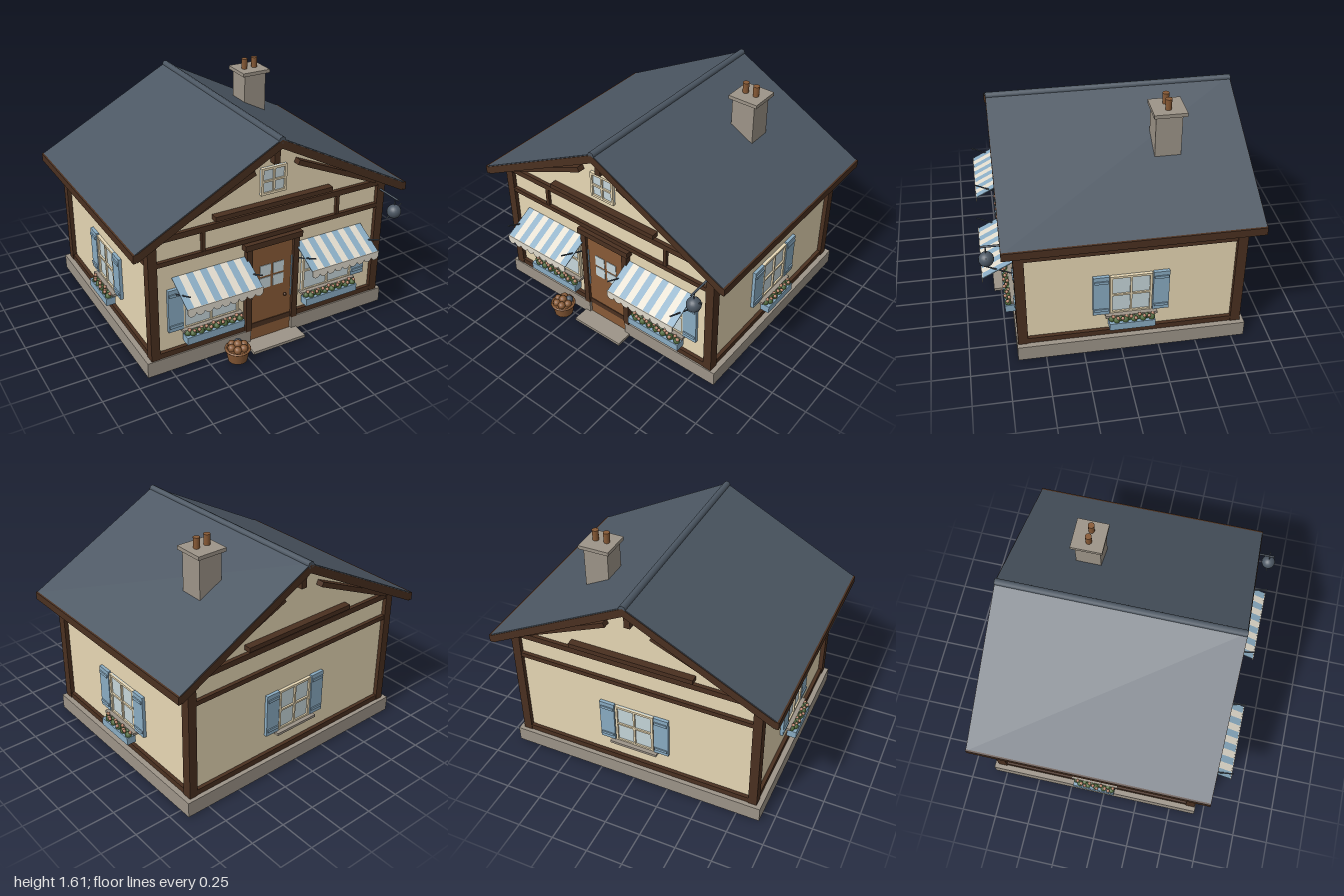
import * as THREE from 'three';

const mat = (name, color) => {
  const m = new THREE.MeshStandardMaterial({ color });
  m.name = name;
  return m;
};

export function createModel() {
  const slate = mat('slate', 0x4c5763), wood = mat('dark timber', 0x4a3020), plaster = mat('cream plaster', 0xecdcb8);
  const oak = mat('door wood', 0x885a36), stone = mat('stone', 0x9d9488), blue = mat('blue paint', 0x8aacc3);
  const glass = mat('glass', 0xc6d6da), canvas = mat('pale canvas', 0xe0dacc), leaf = mat('leaf green', 0x4c6638);
  const bloom = mat('blossom', 0xb9856a);
  const model = new THREE.Group(), root = new THREE.Group();
  model.name = 'cottage';
  root.name = 'building';
  root.position.y = -0.006;
  model.add(root);

  const add = (parent, name, geo, m, x = 0, y = 0, z = 0) => {
    const mesh = new THREE.Mesh(geo, m);
    mesh.name = name;
    mesh.position.set(x, y, z);
    parent.add(mesh);
    return mesh;
  };
  // Box given by its min and max on each axis
  const block = (parent, name, m, x0, x1, y0, y1, z0, z1) =>
    add(parent, name, new THREE.BoxGeometry(x1 - x0, y1 - y0, z1 - z0), m, (x0 + x1) / 2, (y0 + y1) / 2, (z0 + z1) / 2);
  // Outline in x/y extruded between two z values
  const prism = (parent, name, m, pts, z0, z1) =>
    add(parent, name, new THREE.ExtrudeGeometry(new THREE.Shape(pts.map(p => new THREE.Vector2(...p))),
      { depth: z1 - z0, bevelEnabled: false }), m, 0, 0, z0);
  const rod = (parent, name, m, a, b, r) => {
    const A = new THREE.Vector3(...a), B = new THREE.Vector3(...b), d = B.clone().sub(A);
    const mesh = add(parent, name, new THREE.CylinderGeometry(r, r, d.length(), 8), m);
    mesh.position.copy(A).add(B).multiplyScalar(0.5);
    mesh.quaternion.setFromUnitVectors(new THREE.Vector3(0, 1, 0), d.normalize());
    return mesh;
  };

  const WX = 0.85, ZF = 0.65, ZB = -0.78, ZC = (ZF + ZB) / 2, HZ = (ZF - ZB) / 2;

  // Body, floor and plinth
  prism(root, 'walls', plaster, [[-WX, 0.013], [WX, 0.013], [WX, 0.98], [0, 1.43], [-WX, 0.98]], ZB, ZF);
  block(root, 'floor', wood, -0.825, 0.825, 0.009, 0.045, ZB + 0.025, ZF - 0.025);
  for (const s of [-1, 1]) {
    const [a, b] = s > 0 ? [WX, 0.912] : [-0.912, -WX];
    block(root, 'sidePlinth', stone, a, b, 0.01, 0.118, -0.835, 0.685);
    const [c, d] = s > 0 ? [0.16, WX] : [-WX, -0.16];
    block(root, 'frontPlinth', stone, c, d, 0.01, 0.118, ZF, 0.685);
  }
  block(root, 'backPlinth', stone, -WX, WX, 0.01, 0.118, -0.835, ZB);
  block(root, 'doorStep', stone, -0.2, 0.2, 0.006, 0.026, ZF, 0.8);

  // Corner posts
  for (const s of [-1, 1]) for (const z of [0.645, -0.776])
    add(root, 'cornerPost', new THREE.BoxGeometry(0.06, 0.88, 0.066), wood, s * 0.85, 0.555, z);

  // Roof: two slopes, barge boards, eave boards and ridge
  for (const s of [-1, 1]) {
    const flip = pts => pts.map(([x, y]) => [x * s, y]);
    prism(root, 'roofSlope', slate, flip([[0, 1.497], [0.998, 0.968], [0.988, 0.948], [0, 1.472]]), -0.876, 0.746);
    const barge = flip([[0, 1.49], [0.996, 0.962], [0.972, 0.916], [0, 1.432]]);
    prism(root, 'frontBargeBoard', wood, barge, 0.718, 0.75);
    prism(root, 'backBargeBoard', wood, barge, -0.88, -0.848);
    prism(root, 'eaveBoard', wood, flip([[1, 0.971], [1, 0.917], [0.978, 0.917], [0.978, 0.975]]), -0.88, 0.75);
  }
  rod(root, 'ridgeCap', slate, [0, 1.487, -0.88], [0, 1.487, 0.75], 0.024);

  // Chimney
  block(root, 'chimneyStack', stone, 0.33, 0.5, 1.2, 1.525, -0.44, -0.27);
  block(root, 'chimneyCap', stone, 0.31, 0.525, 1.518, 1.543, -0.465, -0.253);
  for (const x of [0.375, 0.455])
    add(root, 'chimneyPot', new THREE.CylinderGeometry(0.022, 0.02, 0.078, 14), oak, x, 1.577, -0.355);

  // Each facade is a group with x along the wall and z pointing outward
  const facade = (name, x, z, ry) => {
    const g = new THREE.Group();
    g.name = name;
    g.position.set(x, 0, z);
    g.rotation.y = ry;
    root.add(g);
    return g;
  };
  const front = facade('frontFacade', 0, ZF, 0), back = facade('backFacade', 0, ZB, Math.PI);
  const leftSide = facade('leftFacade', WX, ZC, Math.PI / 2), rightSide = facade('rightFacade', -WX, ZC, -Math.PI / 2);

  // Pane with frame and crossed bars
  const sash = (g, x, y, w, h) => {
    const t = 0.016;
    block(g, 'windowPane', glass, x - w / 2, x + w / 2, y - h / 2, y + h / 2, 0, 0.01);
    for (const s of [-1, 0, 1]) {
      const u = s ? t : t * 0.8;
      add(g, 'windowStile', new THREE.BoxGeometry(u, h, 0.022), plaster, x + s * (w - t) / 2, y, 0.011);
      add(g, 'windowRail', new THREE.BoxGeometry(w, u, 0.021), plaster, x, y + s * (h - t) / 2, 0.0105);
    }
  };
  const shutter = (g, x) => {
    add(g, 'shutter', new THREE.BoxGeometry(0.105, 0.31, 0.022), blue, x, 0.45, 0.014);
    for (const y of [0.335, 0.565]) add(g, 'shutterBatten', new THREE.BoxGeometry(0.09, 0.02, 0.012), blue, x, y, 0.027);
  };
  const flowerBox = (g, x, w) => {
    add(g, 'flowerBox', new THREE.BoxGeometry(w, 0.054, 0.066), blue, x, 0.235, 0.057);
    const n = Math.round(w / 0.03);
    for (let i = 0; i < n; i++) {
      const px = x + ((i + 0.5) / n - 0.5) * w * 0.96;
      add(g, 'foliage', new THREE.SphereGeometry(0.023, 8, 6), leaf, px, 0.272, 0.048 + (i % 2) * 0.018);
      add(g, 'blossom', new THREE.SphereGeometry(0.0125, 7, 6), bloom, px + 0.008, 0.297 - (i % 2) * 0.008, 0.058 + (i % 3) * 0.012);
    }
  };
  const sill = (g, x, w) => add(g, 'windowSill', new THREE.BoxGeometry(w, 0.018, 0.05), stone, x, 0.287, 0.025);

  // Horizontal timbers on every side
  for (const [g, h] of [[front, WX], [back, WX], [leftSide, HZ], [rightSide, HZ]])
    for (const [y0, y1] of [[0.117, 0.157], [0.79, 0.822], [0.955, 0.995]])
      block(g, 'wallBeam', wood, -h, h, y0, y1, -0.02, 0.025);

  // Gable timbers front and back
  for (const g of [front, back]) {
    block(g, 'gableBeam', wood, -0.43, 0.43, 1.018, 1.05, -0.01, 0.05);
    block(g, 'kingPost', wood, -0.021, 0.021, 1.31, 1.46, -0.01, 0.05);
    for (const s of [-1, 1]) {
      const brace = add(g, 'gableBrace', new THREE.BoxGeometry(0.68, 0.034, 0.05), wood, s * 0.468, 1.15, 0.03);
      brace.rotation.z = -s * 0.415;
    }
  }

  // Side walls: short studs and flower boxes
  for (const [g, s] of [[leftSide, 1], [rightSide, -1]]) {
    for (const x of [-0.365, 0.36]) block(g, 'shortStud', wood, s * x - 0.017, s * x + 0.017, 0.82, 0.957, -0.01, 0.022);
    flowerBox(g, 0, 0.3);
  }
  // Shuttered windows on the sides and back
  for (const g of [leftSide, rightSide, back]) {
    sash(g, 0, 0.445, 0.275, 0.305);
    for (const s of [-1, 1]) shutter(g, s * 0.196);
    sill(g, 0, 0.34);
  }

  // Front door with four small panes and a timber surround
  block(front, 'door', oak, -0.155, 0.155, 0.024, 0.74, -0.03, 0.02);
  for (const x of [-0.05, 0.05]) for (const y of [0.452, 0.547])
    add(front, 'doorPane', new THREE.BoxGeometry(0.08, 0.08, 0.008), glass, x, y, 0.02);
  add(front, 'doorKnob', new THREE.SphereGeometry(0.011, 10, 8), wood, 0.103, 0.318, 0.03);
  for (const s of [-1, 1]) {
    add(front, 'doorJamb', new THREE.BoxGeometry(0.042, 0.63, 0.044), wood, s * 0.177, 0.43, 0.017);
    add(front, 'shutterEdge', new THREE.BoxGeometry(0.008, 0.31, 0.022), blue, s * 0.152, 0.45, 0.014);
    block(front, 'shortStud', wood, s * 0.5 - 0.012, s * 0.5 + 0.012, 0.82, 0.957, -0.01, 0.022);
  }
  block(front, 'doorLintel', wood, -0.215, 0.215, 0.742, 0.784, -0.01, 0.05);
  sash(front, 0, 1.19, 0.185, 0.185);

  // Striped awning with scalloped valance and crossing arms
  const awning = (g, x) => {
    const w = 0.53, n = 11, sw = w / n, a = Math.atan2(0.115, 0.215);
    const cover = new THREE.Group();
    cover.name = 'awning';
    cover.position.set(x, 0.682, 0.003);
    cover.rotation.x = a;
    g.add(cover);
    for (let i = 0; i < n; i++)
      add(cover, 'awningStripe', new THREE.BoxGeometry(sw, 0.006, 0.244), i % 2 ? canvas : blue, (i - (n - 1) / 2) * sw, 0, 0.122);
    const lobes = 9, r = w / lobes / 2, shape = new THREE.Shape();
    shape.moveTo(-w / 2, 0.03);
    shape.lineTo(-w / 2, 0);
    for (let i = 0; i < lobes; i++) shape.absarc(-w / 2 + (2 * i + 1) * r, 0, r, Math.PI, Math.PI * 2, false);
    shape.lineTo(w / 2, 0.03);
    add(g, 'awningValance', new THREE.ExtrudeGeometry(shape, { depth: 0.006, bevelEnabled: false, curveSegments: 8 }),
      canvas, x, 0.547, 0.217);
    for (const s of [-1, 1])
      rod(g, 'awningArm', slate, [x + s * 0.25, 0.563, 0.01], [x + s * 0.25, 0.668, 0.226], 0.005);
  };

  // Front windows
  for (const s of [-1, 1]) {
    const x = s * 0.448;
    sash(front, x, 0.445, 0.405, 0.32);
    shutter(front, s * 0.7);
    sill(front, x, 0.43);
    flowerBox(front, x, 0.415);
    awning(front, s * 0.45);
  }

  // Hanging globe lantern on a bracket
  rod(root, 'lanternBracket', slate, [0.845, 0.922, 0.66], [0.845, 0.922, 0.865], 0.007);
  rod(root, 'lanternHanger', slate, [0.845, 0.85, 0.834], [0.845, 0.922, 0.834], 0.004);
  rod(root, 'lanternPin', slate, [0.79, 0.79, 0.834], [0.902, 0.872, 0.834], 0.004);
  add(root, 'lanternGlobe', new THREE.SphereGeometry(0.048, 18, 14), slate, 0.845, 0.827, 0.834);

  // Basket of produce by the door
  const basket = new THREE.Group();
  basket.name = 'basket';
  basket.position.set(-0.32, 0.014, 0.79);
  root.add(basket);
  add(basket, 'basketBody', new THREE.CylinderGeometry(0.08, 0.064, 0.085, 18), oak, 0, 0.0425, 0);
  add(basket, 'basketRim', new THREE.TorusGeometry(0.079, 0.008, 8, 20), oak, 0, 0.085, 0).rotation.x = Math.PI / 2;
  for (let i = 0; i < 6; i++) {
    const t = i * Math.PI / 3;
    add(basket, 'fruit', new THREE.SphereGeometry(0.027, 10, 8), i === 5 ? slate : oak,
      Math.cos(t) * 0.046, 0.1, Math.sin(t) * 0.046);
  }
  add(basket, 'fruit', new THREE.SphereGeometry(0.029, 10, 8), oak, 0, 0.117, 0);

  return model;
}
